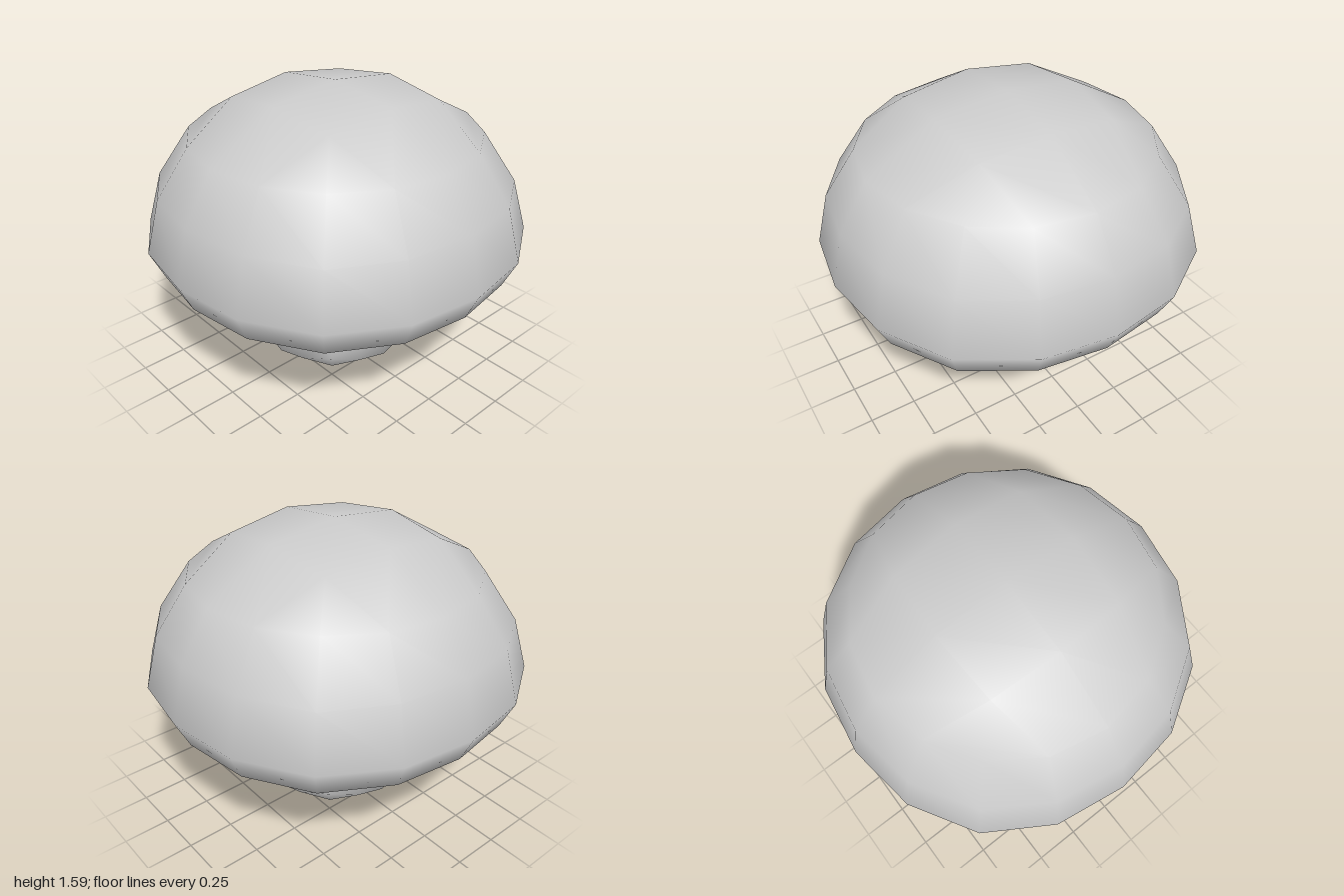
import * as THREE from 'three';

const SIDES = 16;

// Index on a 16-point ring for a perimeter point of the 4x4 end grid
function ringIndex(gx, gz) {
  const k = gz === 2 ? gx : gx === 2 ? 4 - gz : gz === -2 ? 8 - gx : 12 + gz;
  return (k + SIDES) % SIDES;
}

// Smooth rounded body: a 4x4 quad end, then a chain of rings.
// end = { centre: y, side: [offset, y], corner: [offset, y] }
// ring = [radius, y, extra radius at the diagonals, extra height at the diagonals]
function quadEndedBody(end, rings, flip) {
  const pos = [], index = [];
  for (const [r, y, bulge, lift] of rings) {
    for (let i = 0; i < SIDES; i++) {
      const a = (i / SIDES) * Math.PI * 2;
      const diagonal = Math.sin(2 * a) ** 2;
      const radius = r + bulge * diagonal;
      pos.push(radius * Math.sin(a), y + lift * diagonal, radius * Math.cos(a));
    }
  }
  const inner = rings.length * SIDES;
  for (let gz = -1; gz <= 1; gz++) {
    for (let gx = -1; gx <= 1; gx++) {
      const n = Math.abs(gx) + Math.abs(gz);
      const [d, y] = n === 0 ? [0, end.centre] : n === 1 ? end.side : end.corner;
      pos.push(gx * d, y, gz * d);
    }
  }
  const quad = (a, b, c, d) => {
    if (flip) index.push(a, c, b, a, d, c);
    else index.push(a, b, c, a, c, d);
  };
  const at = (gx, gz) => Math.max(Math.abs(gx), Math.abs(gz)) === 2
    ? ringIndex(gx, gz) : inner + (gz + 1) * 3 + gx + 1;
  for (let x = -2; x < 2; x++) {
    for (let z = -2; z < 2; z++) {
      quad(at(x, z), at(x, z + 1), at(x + 1, z + 1), at(x + 1, z));
    }
  }
  for (let k = 0; k < rings.length - 1; k++) {
    for (let i = 0; i < SIDES; i++) {
      const j = (i + 1) % SIDES, a = k * SIDES, b = a + SIDES;
      quad(a + i, b + i, b + j, a + j);
    }
  }
  const geo = new THREE.BufferGeometry();
  geo.setAttribute('position', new THREE.Float32BufferAttribute(pos, 3));
  geo.setIndex(index);
  geo.computeVertexNormals();
  return geo;
}

export function createModel() {
  const group = new THREE.Group();
  group.name = 'mushroom';
  const material = new THREE.MeshStandardMaterial({ color: 0xcccccc, side: THREE.DoubleSide });

  // Cap: domed top, flared rim and hollow underside
  const cap = new THREE.Mesh(quadEndedBody(
    { centre: 1.595, side: [0.4, 1.545], corner: [0.375, 1.497] },
    [[0.77, 1.33, 0, 0], [0.93, 1.08, 0.023, -0.02], [1, 0.78, 0.035, 0],
      [0.93, 0.63, 0.035, 0], [0.74, 0.8, 0.02, 0], [0.3, 0.83, 0, 0]],
    false), material);
  cap.name = 'cap';

  // Stem: rounded foot, bulge and narrower neck running up into the cap
  const stem = new THREE.Mesh(quadEndedBody(
    { centre: 0.003, side: [0.24, 0.025], corner: [0.235, 0.045] },
    [[0.41, 0.11, 0.022, 0.06], [0.41, 0.29, 0.022, 0], [0.36, 0.51, 0.016, 0],
      [0.36, 0.64, 0.012, 0], [0.35, 0.86, 0.01, 0]],
    true), material);
  stem.name = 'stem';

  group.add(cap, stem);
  return group;
}
